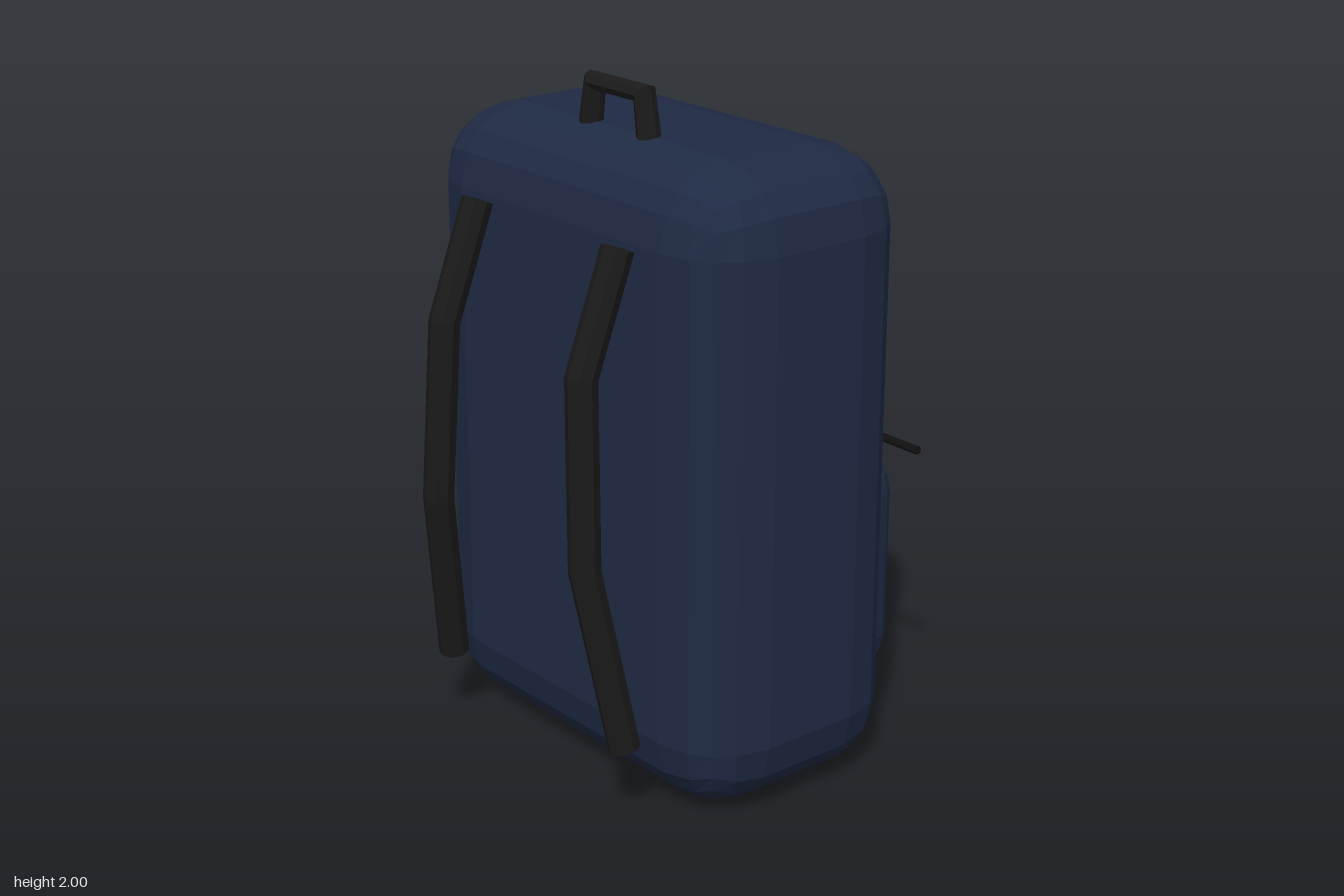
import * as THREE from 'three';
import { RoundedBoxGeometry } from 'three/addons/geometries/RoundedBoxGeometry.js';

const material = (name, color) => Object.assign(new THREE.MeshStandardMaterial({ color }), { name });

// Rounded box with flat facets
function softBox(w, h, d, radius) {
  const geometry = new RoundedBoxGeometry(w, h, d, 2, radius);
  geometry.computeVertexNormals();
  return geometry;
}

// Capped round band through the points; one ring per point, set square to the averaged direction
function band(points, radius, sideAxis) {
  const p = points.map((a) => new THREE.Vector3(...a));
  const last = p.length - 1;
  const rings = p.map((centre, i) => {
    const t = new THREE.Vector3();
    if (i > 0) t.add(centre.clone().sub(p[i - 1]).normalize());
    if (i < last) t.add(p[i + 1].clone().sub(centre).normalize());
    t.normalize();
    const side = sideAxis.clone().addScaledVector(t, -sideAxis.dot(t)).normalize();
    return { centre, side, up: side.clone().cross(t) };
  });
  const geometry = new THREE.CylinderGeometry(radius, radius, 1, 8, last).toNonIndexed();
  const pos = geometry.attributes.position;
  const v = new THREE.Vector3();
  for (let i = 0; i < pos.count; i++) {
    const ring = rings[Math.round((pos.getY(i) + 0.5) * last)];
    v.copy(ring.centre)
      .addScaledVector(ring.side, pos.getX(i))
      .addScaledVector(ring.up, pos.getZ(i));
    pos.setXYZ(i, v.x, v.y, v.z);
  }
  geometry.computeVertexNormals();
  return geometry;
}

export function createModel() {
  const model = new THREE.Group();
  model.name = 'backpack';
  const navy = material('navy fabric', 0x1f2a44);
  const black = material('black webbing', 0x1a1a1a);
  const zipBlack = material('zip black', 0x111111);

  const add = (name, geometry, mat, x = 0, y = 0, z = 0) => {
    const mesh = new THREE.Mesh(geometry, mat);
    mesh.name = name;
    mesh.position.set(x, y, z);
    model.add(mesh);
    return mesh;
  };

  // Main bag and the pocket on its back
  add('body', softBox(1.325, 1.86, 0.75, 0.22), navy, 0, 0.93, -0.04);
  add('pocket', softBox(1.03, 0.71, 0.265, 0.13), navy, 0, 0.557, -0.413);

  // Zip bar along the pocket top
  const zip = add('pocketZip', new THREE.CylinderGeometry(0.013, 0.013, 1.09, 8), zipBlack, 0, 0.912, -0.547);
  zip.rotation.z = Math.PI / 2;

  // Carry handle
  add('handle', band([
    [-0.128, 1.845, 0.11], [-0.107, 1.973, 0.11], [0.107, 1.973, 0.11], [0.128, 1.845, 0.11],
  ], 0.035, new THREE.Vector3(0, 0, 1)), black);

  // Shoulder straps
  for (const [name, s] of [['leftStrap', 1], ['rightStrap', -1]]) {
    add(name, band([
      [s * 0.315, 1.635, 0.37], [s * 0.315, 1.3, 0.495], [s * 0.345, 0.76, 0.513], [s * 0.41, 0.225, 0.43],
    ], 0.046, new THREE.Vector3(1, 0, 0)), black);
  }
  return model;
}
